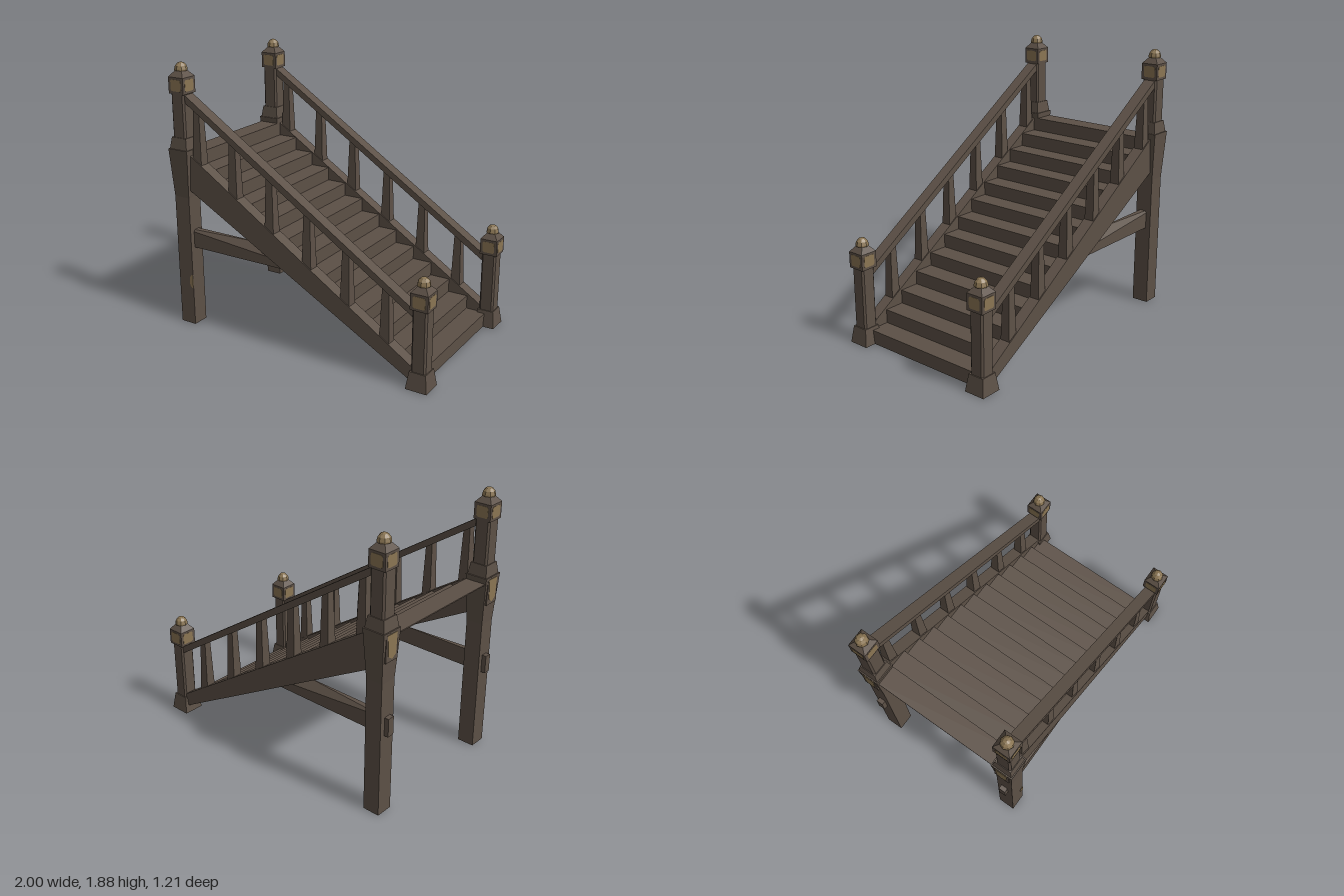
import * as THREE from 'three';
import { ConvexGeometry } from 'three/addons/geometries/ConvexGeometry.js';

const wood = new THREE.MeshStandardMaterial({ color: 0x5c5046 });
wood.name = 'dark wood';
const brass = new THREE.MeshStandardMaterial({ color: 0x8a7553 });
brass.name = 'dull brass';

const SIDE_Z = 0.526;
const TALL_X = -0.909;
const SHORT_X = 0.925;

function add(parent, name, geometry, material, x = 0, y = 0, z = 0) {
  const mesh = new THREE.Mesh(geometry, material);
  mesh.name = name;
  mesh.position.set(x, y, z);
  parent.add(mesh);
  return mesh;
}

// Square frustum with half widths a (bottom) and b (top)
function frustum(a, b, y0, y1) {
  const g = new THREE.CylinderGeometry(b * Math.SQRT2, a * Math.SQRT2, y1 - y0, 4).toNonIndexed();
  g.rotateY(Math.PI / 4);
  g.translate(0, (y0 + y1) / 2, 0);
  g.computeVertexNormals();
  return g;
}

function polygon(points) {
  return new THREE.Shape(points.map(([x, y]) => new THREE.Vector2(x, y)));
}

// Rectangle with cut corners, half sizes w and h
function cutRect(w, h, c) {
  return polygon([
    [w, -h + c], [w, h - c], [w - c, h], [-w + c, h],
    [-w, h - c], [-w, -h + c], [-w + c, -h], [w - c, -h],
  ]);
}

function extrude(shape, depth) {
  return new THREE.ExtrudeGeometry(shape, { depth, bevelEnabled: false, curveSegments: 8 });
}

// Post shaft with chamfered edges
function shaft(half, y0, y1) {
  const g = extrude(cutRect(half, half, 0.012), y1 - y0);
  g.rotateX(-Math.PI / 2);
  g.translate(0, y0, 0);
  return g;
}

// Post head: block, four brass panels, sloped cap and faceted finial
function makeHead(y) {
  const head = new THREE.Group();
  head.name = 'postHead';
  head.position.y = y;
  add(head, 'headBlock', frustum(0.062, 0.062, 0, 0.112), wood);
  add(head, 'headCap', frustum(0.062, 0.028, 0.112, 0.152), wood);
  for (let i = 0; i < 4; i++) {
    const g = extrude(cutRect(0.043, 0.039, 0.009), 0.003);
    g.translate(0, 0.057, 0.0605);
    g.rotateY(i * Math.PI / 2);
    add(head, 'headPanel', g, brass);
  }
  const profile = [[0, 0.15], [0.044, 0.152], [0.044, 0.162], [0.038, 0.184], [0.022, 0.202], [0, 0.21]]
    .map(([r, h]) => new THREE.Vector2(r, h));
  const finial = new THREE.LatheGeometry(profile, 8).toNonIndexed();
  finial.computeVertexNormals();
  add(head, 'finial', finial, brass);
  return head;
}

function makeTallPost(side) {
  const post = new THREE.Group();
  post.name = 'tallPost';
  add(post, 'leg', frustum(0.06, 0.06, 0, 0.95), wood);
  add(post, 'flare', frustum(0.06, 0.08, 0.95, 1.29), wood);
  add(post, 'shoulder', frustum(0.072, 0.06, 1.29, 1.37), wood);
  add(post, 'shaft', shaft(0.055, 1.37, 1.67), wood);
  post.add(makeHead(1.67));

  // Brass shield on the outer end of the flare
  add(post, 'shieldBacking', new THREE.BoxGeometry(0.04, 0.19, 0.11), wood, -0.06, 1.19, 0);
  const shield = polygon([[0, -0.085], [0.035, -0.06], [0.045, 0.08], [-0.045, 0.08], [-0.035, -0.06]]);
  const plate = extrude(shield, 0.005);
  plate.rotateY(-Math.PI / 2);
  add(post, 'shieldPlate', plate, brass, -0.078, 1.195, 0);

  // Half disc on the edge of one leg
  if (side > 0) {
    const disc = new THREE.Shape();
    disc.absellipse(0, 0, 0.03, 0.052, Math.PI / 2, Math.PI * 1.5, false);
    add(post, 'halfDisc', extrude(disc, 0.004), brass, 0.06, 0.33, 0.0595);
  }
  post.position.set(TALL_X, 0, side * SIDE_Z);
  return post;
}

function makeShortPost(side) {
  const post = new THREE.Group();
  post.name = 'shortPost';
  add(post, 'foot', frustum(0.075, 0.058, 0, 0.12), wood);
  add(post, 'shaft', shaft(0.052, 0.12, 0.545), wood);
  post.add(makeHead(0.545));
  post.position.set(SHORT_X, 0, side * SIDE_Z);
  return post;
}

// Side outline in x and y, extruded across z
function plank(points, width) {
  const g = extrude(polygon(points), width);
  g.translate(0, 0, -width / 2);
  return g;
}

function makeSide(side) {
  const group = new THREE.Group();
  group.name = side > 0 ? 'frontSide' : 'backSide';
  group.add(makeTallPost(side), makeShortPost(side));
  const z = side * SIDE_Z;

  // Tapering stringer and sloped handrail
  add(group, 'stringer', plank([[-0.88, 1.02], [0.91, 0.025], [0.91, 0.125], [-0.88, 1.282]], 0.084), wood, 0, 0, z);
  add(group, 'handrail', plank([[-0.88, 1.63], [0.9, 0.472], [0.9, 0.525], [-0.88, 1.682]], 0.084), wood, 0, 0, z);

  // Tapered balusters
  for (let i = 0; i < 6; i++) {
    const x = -0.779 + i * 0.2905;
    const base = 1.25 - 0.647 * (x + 0.83) - 0.04;
    const top = 1.63 - 0.65 * (x + 0.88) + 0.02;
    add(group, 'baluster', frustum(0.036, 0.024, base, top), wood, x, 0, z);
  }

  // Brace through the tall leg, its outer top edge falling away
  const corners = [
    [-1, 0.58, 0.5], [-1, 0.58, 0.55], [-1, 0.71, 0.5], [-1, 0.708, 0.55],
    [-0.28, 0.71, 0.5],
    [0.04, 0.58, 0.5], [0.04, 0.58, 0.55], [0.04, 0.66, 0.5], [0.04, 0.62, 0.55],
  ];
  add(group, 'brace', new ConvexGeometry(corners.map(([x, y, w]) => new THREE.Vector3(x, y, side * w))), wood);
  return group;
}

// Thin zigzag of thirteen risers and treads
function makeSteps() {
  const rise = 0.0963, run = 0.146, thick = 0.008;
  const upper = [], lower = [];
  for (let i = 0; i < 13; i++) {
    const x = 0.92 - run * i, y = rise * i;
    upper.push([x, y], [x, y + rise]);
    lower.push([x - thick, i ? y - thick : 0], [x - thick, y + rise - thick]);
  }
  const end = 0.92 - run * 13, top = rise * 13;
  return plank([...upper, [end, top], [end, top - thick], ...lower.reverse()], 0.98);
}

export function createModel() {
  const model = new THREE.Group();
  model.name = 'staircase';
  add(model, 'steps', makeSteps(), wood);
  model.add(makeSide(1), makeSide(-1));
  return model;
}
